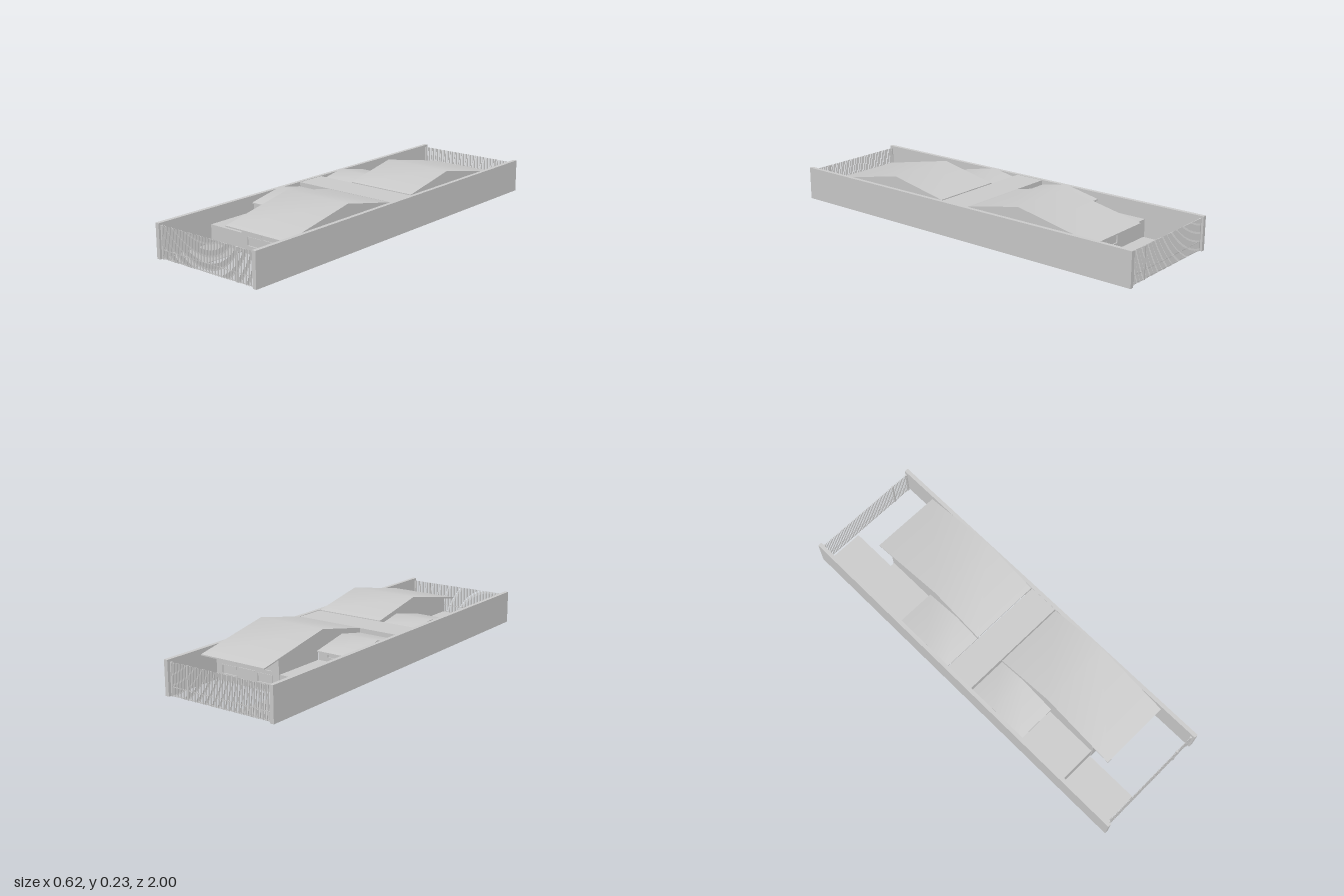
import * as THREE from 'three';
import { toCreasedNormals } from 'three/addons/utils/BufferGeometryUtils.js';

const material = new THREE.MeshStandardMaterial({ color: 0xcccccc, side: THREE.DoubleSide });

function add(parent, name, geometry) {
  const mesh = new THREE.Mesh(geometry, material);
  mesh.name = name;
  parent.add(mesh);
  return mesh;
}

// Box given by its limits on each axis
function box(parent, name, x0, x1, y0, y1, z0, z1) {
  const mesh = add(parent, name, new THREE.BoxGeometry(x1 - x0, y1 - y0, Math.abs(z1 - z0)));
  mesh.position.set((x0 + x1) / 2, (y0 + y1) / 2, (z0 + z1) / 2);
  return mesh;
}

// Outline in [z, y], extruded along x from x0 to x1
function prism(parent, name, points, x0, x1, s) {
  const shape = new THREE.Shape(points.map(([z, y]) => new THREE.Vector2(-z * s, y)));
  let geometry = new THREE.ExtrudeGeometry(shape, { depth: x1 - x0, bevelEnabled: false });
  geometry.rotateY(Math.PI / 2);
  geometry.translate(x0, 0, 0);
  geometry = toCreasedNormals(geometry, 0.6);
  return add(parent, name, geometry);
}

// Two-slope roof sheet of constant thickness
function roof(parent, name, [a, b, c], x0, x1, s) {
  const t = 0.006;
  const under = [c, b, a].map(([z, y]) => [z, y - t]);
  prism(parent, name, [a, b, c, ...under], x0, x1, s);
}

// Wall facing z with framed, recessed windows [x0, x1, y0, y1]
function windowWall(parent, name, x0, x1, y0, y1, z, s, windows) {
  const group = new THREE.Group();
  group.name = name;
  parent.add(group);
  const rect = (path, a, b, c, d) =>
    path.moveTo(a, c).lineTo(b, c).lineTo(b, d).lineTo(a, d).closePath();
  const shape = new THREE.Shape();
  rect(shape, x0, x1, y0, y1);
  for (const [a, b, c, d] of windows) {
    const hole = new THREE.Path();
    rect(hole, a, b, c, d);
    shape.holes.push(hole);
    const f = 0.004;
    const frame = new THREE.Shape();
    rect(frame, a, b, c, d);
    const opening = new THREE.Path();
    rect(opening, a + f, b - f, c + f, d - f);
    frame.holes.push(opening);
    const geometry = new THREE.ExtrudeGeometry(frame, { depth: 0.014, bevelEnabled: false });
    add(group, 'windowFrame', geometry).position.z = s * z - 0.007;
    box(group, 'windowPane', a + f, b - f, c + f, d - f, s * z - 0.001, s * z + 0.001);
  }
  const geometry = new THREE.ExtrudeGeometry(shape, { depth: 0.01, bevelEnabled: false });
  add(group, 'wallPanel', geometry).position.z = s * z - 0.005;
}

function buildHouse(s, ridge, inner, outer) {
  const house = new THREE.Group();
  house.name = s > 0 ? 'frontHouse' : 'backHouse';
  const drop = (z) => 0.228 - 0.2 * Math.abs(z - ridge);
  const low = (z) => drop(z) - 0.006;

  // Main gabled roof and the gable on the outer side
  roof(house, 'mainRoof', [[inner, drop(inner)], [ridge, 0.228], [outer, drop(outer)]], -0.085, 0.285, s);
  prism(house, 'outerGable', [[inner, 0.15], [inner, low(inner)], [ridge, 0.222],
    [0.69, low(0.69)], [0.69, 0.15]], 0.277, 0.283, s);

  // Side wing with its own roof
  const wing = [[0.085, 0.146], [0.23, 0.173], [0.42, 0.135]];
  roof(house, 'wingRoof', wing, -0.288, -0.085, s);
  windowWall(house, 'wingWall', -0.288, -0.085, 0.086, 0.13, 0.405, s, [[-0.23, -0.135, 0.106, 0.127]]);

  // Partition rising from the wing to the main roof
  prism(house, 'partition', [[inner, 0.142], [inner, low(inner)], [ridge, 0.222], [0.69, low(0.69)],
    [0.69, 0.086], [0.415, 0.086], [0.415, 0.132], [0.23, 0.167]], -0.085, -0.08, s);

  // Garage with a flat top, and its drive
  box(house, 'garageRoof', -0.288, -0.085, 0.084, 0.09, s * 0.405, s * 0.69);
  box(house, 'garageFront', -0.288, -0.085, 0, 0.084, s * 0.682, s * 0.69);
  box(house, 'drive', -0.281, -0.088, 0, 0.003, s * 0.69, s * 0.972);

  // Outer wall with two storeys of windows
  const windows = [];
  for (const [a, b] of [[-0.05, 0.042], [0.16, 0.25]]) {
    windows.push([a, b, 0.035, 0.082], [a, b, 0.096, 0.132]);
  }
  windowWall(house, 'mainWall', -0.085, 0.283, 0, 0.161, 0.69, s, windows);
  box(house, 'wallBand', 0.052, 0.15, 0.081, 0.085, s * 0.694, s * 0.699);
  return house;
}

function buildFence(s) {
  const fence = new THREE.Group();
  fence.name = s > 0 ? 'frontFence' : 'backFence';
  const z = s * 0.984;
  const count = 60;
  for (let i = 0; i < count; i++) {
    const x = -0.278 + (0.552 * i) / (count - 1);
    box(fence, 'slat', x - 0.0018, x + 0.0018, 0, 0.157, z - 0.002, z + 0.002);
  }
  for (const x of [-0.284, 0.184, 0.28]) {
    box(fence, 'post', x - 0.004, x + 0.004, 0, 0.157, z - 0.005, z + 0.005);
  }
  for (const y of [0.004, 0.043]) {
    box(fence, 'rail', -0.288, 0.288, y - 0.002, y + 0.002, z - 0.001, z + 0.001);
  }
  return fence;
}

export function createModel() {
  const model = new THREE.Group();
  model.name = 'walledHouses';

  // Long boundary walls and the block between the houses
  box(model, 'leftBoundaryWall', 0.288, 0.308, 0, 0.168, -1, 1);
  box(model, 'rightBoundaryWall', -0.308, -0.288, 0, 0.168, -1, 1);
  box(model, 'centreBlock', -0.288, 0.288, 0, 0.166, -0.077, 0.08);

  model.add(buildHouse(1, 0.39, 0.087, 0.79), buildHouse(-1, 0.377, 0.081, 0.793));
  model.add(buildFence(1), buildFence(-1));
  return model;
}
